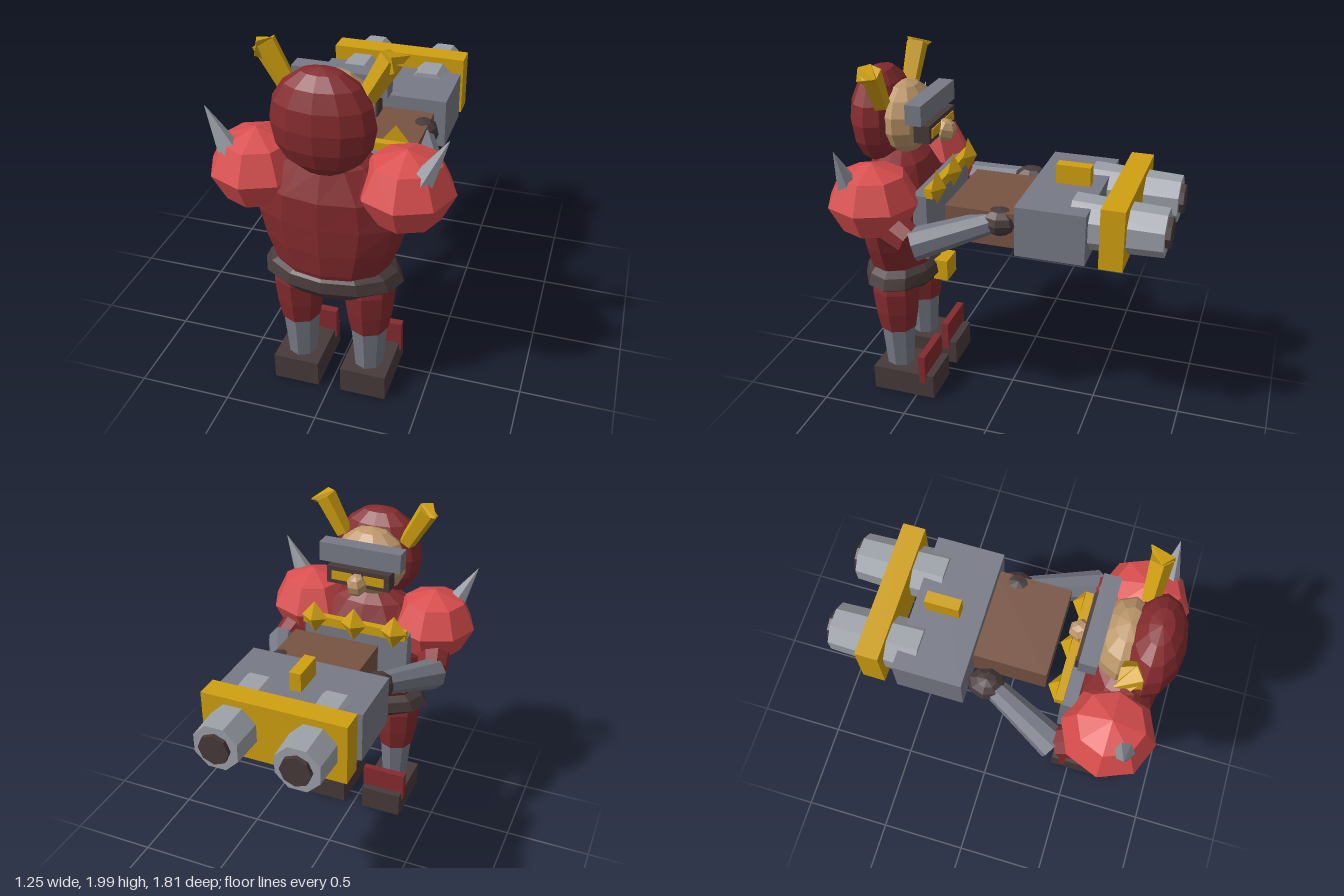
import * as THREE from 'three';

const paint = (name, color) => {
  const m = new THREE.MeshStandardMaterial({ color, flatShading: true });
  m.name = name;
  return m;
};

export function createModel() {
  const M = {
    red: paint('dark red', 0x852b2e),
    scarlet: paint('shoulder red', 0xd94d4d),
    steel: paint('gun steel', 0x777a86),
    silver: paint('bright steel', 0x9ca0a8),
    gold: paint('gold', 0xd0a010),
    dark: paint('dark leather', 0x483a3a),
    skin: paint('skin', 0xbd976a),
    wood: paint('brown stock', 0x785443),
  };
  const root = new THREE.Group();
  root.name = 'armouredGunner';

  const add = (name, geometry, mat, x = 0, y = 0, z = 0) => {
    const mesh = new THREE.Mesh(geometry, mat);
    mesh.name = name;
    mesh.position.set(x, y, z);
    root.add(mesh);
    return mesh;
  };
  // box given by its limits on each axis
  const box = (name, mat, [x0, x1], [y0, y1], [z0, z1]) =>
    add(name, new THREE.BoxGeometry(x1 - x0, y1 - y0, z1 - z0), mat,
      (x0 + x1) / 2, (y0 + y1) / 2, (z0 + z1) / 2);
  const ball = (name, mat, c, r, w = 8, h = 6) => {
    const m = add(name, new THREE.SphereGeometry(1, w, h), mat, ...c);
    m.scale.set(...r);
    return m;
  };
  // tapered rod between two points
  const rod = (name, mat, a, b, ra, rb, sides = 8, twist = 0) => {
    const A = new THREE.Vector3(...a), B = new THREE.Vector3(...b);
    const d = B.clone().sub(A);
    const g = new THREE.CylinderGeometry(rb, ra, d.length(), sides);
    g.rotateY(twist);
    const m = add(name, g, mat, ...A.clone().add(B).multiplyScalar(0.5).toArray());
    m.quaternion.setFromUnitVectors(new THREE.Vector3(0, 1, 0), d.normalize());
    return m;
  };
  // stacked elliptical rings [y, rx, rz], bottom to top
  const loft = (name, mat, rings, x, z, sides) => {
    const n = rings.length - 1;
    const g = new THREE.CylinderGeometry(1, 1, n, sides, n);
    const p = g.attributes.position;
    for (let i = 0; i < p.count; i++) {
      const [y, rx, rz] = rings[Math.round(p.getY(i) + n / 2)];
      p.setXYZ(i, p.getX(i) * rx, y, p.getZ(i) * rz);
    }
    return add(name, g, mat, x, 0, z);
  };

  // Body
  loft('torso', M.red, [[0.77, 0.28, 0.18], [0.82, 0.305, 0.195], [0.95, 0.355, 0.208],
    [1.1, 0.395, 0.212], [1.25, 0.37, 0.21], [1.4, 0.22, 0.15], [1.46, 0.1, 0.08]], 0, 0.65, 12);
  loft('belt', M.dark, [[0.59, 0.04, 0.04], [0.645, 0.25, 0.16], [0.72, 0.375, 0.22],
    [0.78, 0.345, 0.21], [0.81, 0.3, 0.18]], 0, 0.64, 12);
  box('beltBuckle', M.gold, [-0.07, 0.07], [0.67, 0.795], [0.375, 0.46]);
  box('chestPlate', M.steel, [-0.315, 0.315], [0.94, 1.31], [0.38, 0.46]);
  box('collarBar', M.gold, [-0.31, 0.31], [1.3, 1.355], [0.345, 0.39]);
  for (const x of [-0.24, 0, 0.24]) {
    const stud = add('collarStud', new THREE.ConeGeometry(0.1, 0.055, 4), M.gold, x, 1.345, 0.32);
    stud.rotation.x = -Math.PI / 2;
    stud.scale.x = 0.8;
  }

  // Head
  ball('helmet', M.red, [0, 1.635, 0.745], [0.262, 0.275, 0.157], 12, 8);
  ball('face', M.skin, [0, 1.635, 0.605], [0.215, 0.2, 0.15], 10, 7);
  box('visor', M.steel, [-0.24, 0.24], [1.67, 1.78], [0.42, 0.51]);
  box('goggles', M.dark, [-0.185, 0.185], [1.555, 1.655], [0.4, 0.49]);
  const nose = ball('nose', M.skin, [0, 1.575, 0.385], [0.06, 0.065, 0.065], 6, 5);
  nose.rotation.x = -0.3;

  for (const s of [-1, 1]) {
    box('eye', M.gold, [s * 0.095 - 0.06, s * 0.095 + 0.06], [1.58, 1.63], [0.394, 0.402]);

    // Bent horns
    rod('horn', M.gold, [s * 0.19, 1.75, 0.665], [s * 0.305, 1.955, 0.66], 0.05, 0.062, 5);
    rod('hornTip', M.gold, [s * 0.285, 1.935, 0.69], [s * 0.365, 1.945, 0.6], 0.062, 0.004, 5);

    // Shoulders and arms
    ball('pauldron', M.scarlet, [s * 0.38, 1.29, 0.652], [0.245, 0.21, 0.25], 8, 4);
    rod('shoulderSpike', M.silver, [s * 0.465, 1.37, 0.745], [s * 0.595, 1.63, 0.745], 0.068, 0.001, 6);
    rod('upperArm', M.red, [s * 0.4, 1.22, 0.64], [s * 0.46, 1.115, 0.42], 0.11, 0.085, 8);
    rod('forearm', M.steel, [s * 0.475, 1.105, 0.4], [s * 0.3, 1.215, 0.02], 0.09, 0.062, 8);
    ball('hand', M.dark, [s * 0.29, 1.22, -0.022], [0.088, 0.075, 0.108], 8, 6);

    // Legs
    loft('thigh', M.red, [[0.4, 0.105, 0.108], [0.52, 0.128, 0.128], [0.66, 0.142, 0.142],
      [0.76, 0.12, 0.12]], s * 0.19, 0.645, 8);
    loft('shin', M.steel, [[0.13, 0.078, 0.082], [0.41, 0.103, 0.103]], s * 0.188, 0.645, 8);
    box('boot', M.dark, [s * 0.188 - 0.125, s * 0.188 + 0.125], [0, 0.15], [0.39, 0.767]);
    box('toeGuard', M.red, [s * 0.188 - 0.135, s * 0.188 + 0.135], [0.1, 0.28], [0.435, 0.476]);

    // Gun barrels
    rod('barrel', M.silver, [s * 0.215, 1.25, -0.4], [s * 0.215, 1.247, -0.885],
      0.146, 0.128, 8, Math.PI / 8);
    rod('muzzle', M.dark, [s * 0.215, 1.25, -0.86], [s * 0.215, 1.25, -0.91], 0.083, 0.083, 8);
  }

  // Gun body
  box('gunStock', M.wood, [-0.18, 0.325], [1.09, 1.285], [-0.16, 0.27]);
  box('gunBody', M.steel, [-0.39, 0.39], [1.085, 1.36], [-0.503, -0.13]);
  box('gunSight', M.gold, [-0.032, 0.032], [1.35, 1.465], [-0.437, -0.25]);
  box('barrelClamp', M.gold, [-0.39, 0.39], [1.08, 1.412], [-0.698, -0.573]);

  return root;
}
